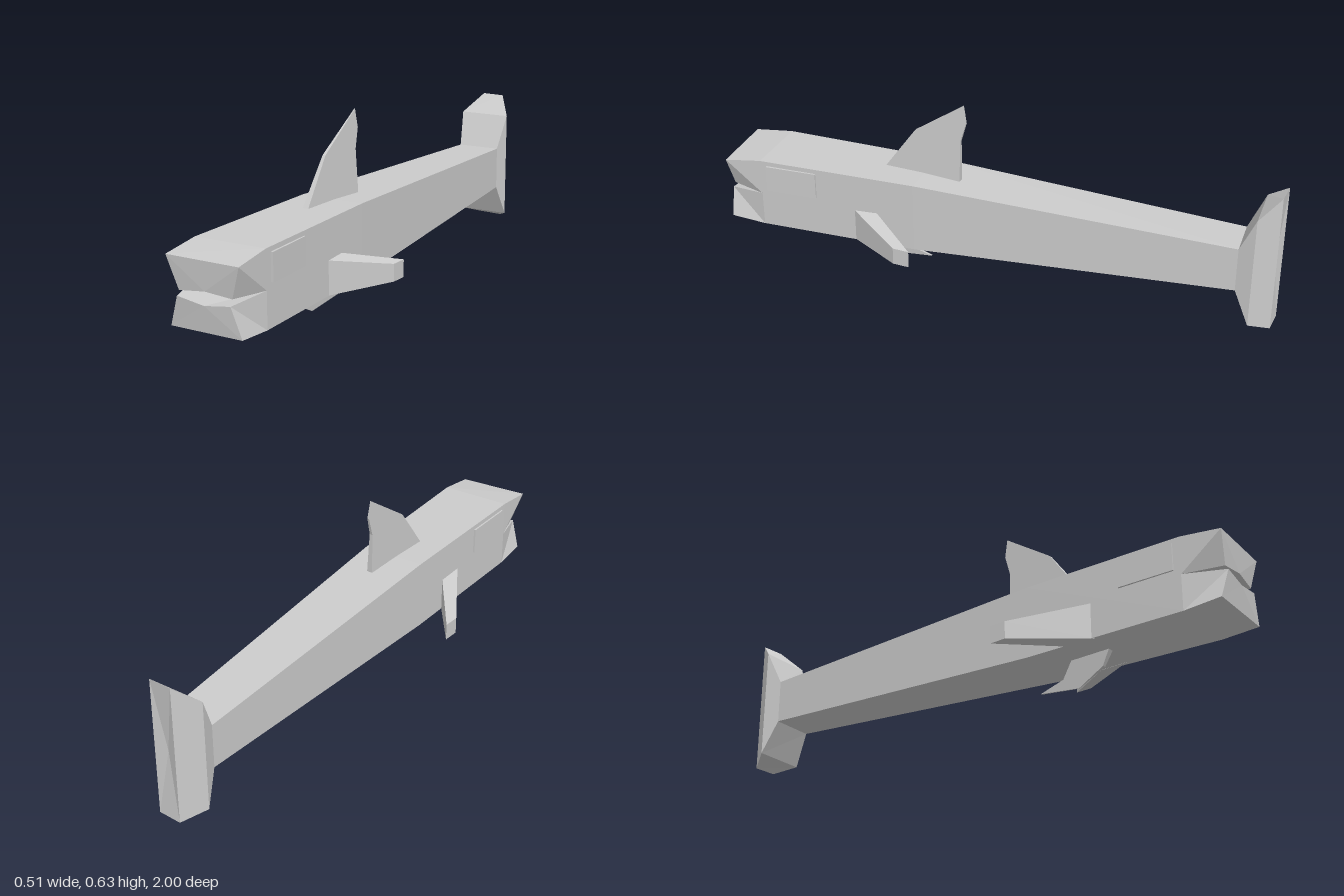
import * as THREE from 'three';

const material = new THREE.MeshStandardMaterial({ color: 0xcccccc, flatShading: true });

// Flat-faced mesh from convex polygons, corners counter-clockwise from outside
function polyMesh(name, polys) {
  const pos = [];
  for (const p of polys)
    for (let i = 1; i < p.length - 1; i++) pos.push(...p[0], ...p[i], ...p[i + 1]);
  const g = new THREE.BufferGeometry();
  g.setAttribute('position', new THREE.Float32BufferAttribute(pos, 3));
  g.computeVertexNormals();
  const mesh = new THREE.Mesh(g, material);
  mesh.name = name;
  return mesh;
}

// Four corners, clockwise from the front; the right and left sides may differ in z
const ring = (xR, xL, yB, yT, zR, zL) =>
  [[xR, yT, zR], [xL, yT, zL], [xL, yB, zL], [xR, yB, zR]];

// Quads joining consecutive rings, front to back
function loft(rings) {
  const polys = [];
  for (let i = 0; i < rings.length - 1; i++)
    for (let k = 0; k < 4; k++) {
      const n = (k + 1) % 4;
      polys.push([rings[i][k], rings[i][n], rings[i + 1][n], rings[i + 1][k]]);
    }
  return polys;
}

// One jaw wedge: F = front corners, lip = right/middle/left, P = neck corners, M = mouth corners
function jaw(name, [fR, fL], [lR, lM, lL], [pR, pL], [mR, mL], flip) {
  const polys = [
    [fR, fL, pL, pR],
    [lM, fR, lR], [lM, fL, fR], [lM, lL, fL],
    [fR, pR, mR, lR], [fL, lL, mL, pL],
    [lM, lR, mR], [lM, mR, mL], [lM, mL, lL],
  ];
  return polyMesh(name, flip ? polys.map(p => p.slice().reverse()) : polys);
}

// Upright fin cut from a (z, y) outline, leaning and thinning from root to tip
function uprightFin(name, outline, rootY, tipY, root, tip) {
  const shape = new THREE.Shape(outline.map(([z, y]) => new THREE.Vector2(-z, y)));
  const g = new THREE.ExtrudeGeometry(shape, { depth: 1, bevelEnabled: false });
  g.rotateY(Math.PI / 2);
  const p = g.attributes.position;
  for (let i = 0; i < p.count; i++) {
    const t = (p.getY(i) - rootY) / (tipY - rootY);
    const a = THREE.MathUtils.lerp(root[0], tip[0], t);
    const b = THREE.MathUtils.lerp(root[1], tip[1], t);
    p.setX(i, THREE.MathUtils.lerp(a, b, p.getX(i)));
  }
  g.computeVertexNormals();
  const mesh = new THREE.Mesh(g, material);
  mesh.name = name;
  return mesh;
}

// Swept side fin; side is +1 for left, -1 for right
function sideFin(name, side, rootX, tipX, dz) {
  const section = (x, yB, yT, zF, zB) =>
    [[x, yT, zF + dz], [x, yT, zB + dz], [x, yB, zB + dz], [x, yB, zF + dz]];
  const root = section(rootX, 0.1, 0.225, 0.5, 0.4);
  const tip = section(tipX, 0.112, 0.173, 0.265, 0.205);
  const polys = [...loft([root, tip]), tip, root.slice().reverse()];
  return polyMesh(name, side > 0 ? polys.map(p => p.slice().reverse()) : polys);
}

// Thin raised panel lying along a flank
function eyePanel(name, xFront, xBack, y, zFront, zBack) {
  const dx = xFront - xBack, dz = zFront - zBack;
  const mesh = new THREE.Mesh(new THREE.BoxGeometry(0.018, 0.095, Math.hypot(dx, dz)), material);
  mesh.position.set((xFront + xBack) / 2, y, (zFront + zBack) / 2);
  mesh.rotation.y = Math.atan2(dx, dz);
  mesh.name = name;
  return mesh;
}

export function createModel() {
  const model = new THREE.Group();
  model.name = 'fish';

  // Body
  const neck = ring(-0.085, 0.172, 0.1, 0.356, 0.855, 0.835);
  const middle = ring(-0.112, 0.12, 0.101, 0.355, 0.27, 0.25);
  const tailRoot = ring(-0.158, 0, 0.15, 0.308, -0.865, -0.88);
  model.add(polyMesh('body', loft([neck, middle, tailRoot])));

  // Jaws
  const mouth = [[-0.085, 0.225, 0.855], [0.172, 0.225, 0.835]];
  model.add(
    jaw('upperJaw', [[-0.075, 0.34, 1], [0.181, 0.336, 0.975]],
      [[-0.04, 0.23, 0.985], [0.055, 0.241, 0.98], [0.147, 0.23, 0.965]],
      [neck[0], neck[1]], mouth, false),
    jaw('lowerJaw', [[-0.075, 0.112, 0.985], [0.181, 0.109, 0.965]],
      [[-0.04, 0.215, 0.995], [0.055, 0.198, 0.985], [0.147, 0.21, 0.975]],
      [neck[3], neck[2]], mouth, true));

  // Vertical tail fluke, closed by a shallow notch at the rear
  const flukeSide = ring(-0.18, 0.011, 0.032, 0.432, -0.92, -0.935);
  const flukeEnd = ring(-0.13, -0.045, 0.004, 0.5, -1, -1);
  const notch = [-0.088, 0.25, -0.985];
  model.add(polyMesh('tailFluke', [
    ...loft([tailRoot, flukeSide, flukeEnd]),
    ...flukeEnd.map((p, k) => [p, flukeEnd[(k + 1) % 4], notch]),
  ]));

  // Fins
  model.add(
    uprightFin('dorsalFin',
      [[0.41, 0.352], [0.295, 0.51], [0.11, 0.635], [0.1, 0.57], [0.12, 0.5], [0.12, 0.34]],
      0.35, 0.635, [-0.008, 0.014], [-0.008, -0.005]),
    uprightFin('bellyFin',
      [[0.52, 0.104], [0.49, 0.05], [0.39, 0], [0.235, 0.02], [0.33, 0.045], [0.37, 0.104]],
      0.1, 0, [0, 0.021], [0.009, 0.012]),
    sideFin('leftSideFin', 1, 0.125, 0.253, 0),
    sideFin('rightSideFin', -1, -0.095, -0.255, 0.03));

  // Eyes
  model.add(
    eyePanel('rightEye', -0.083, -0.093, 0.292, 0.83, 0.63),
    eyePanel('leftEye', 0.169, 0.15, 0.292, 0.81, 0.62));

  return model;
}
